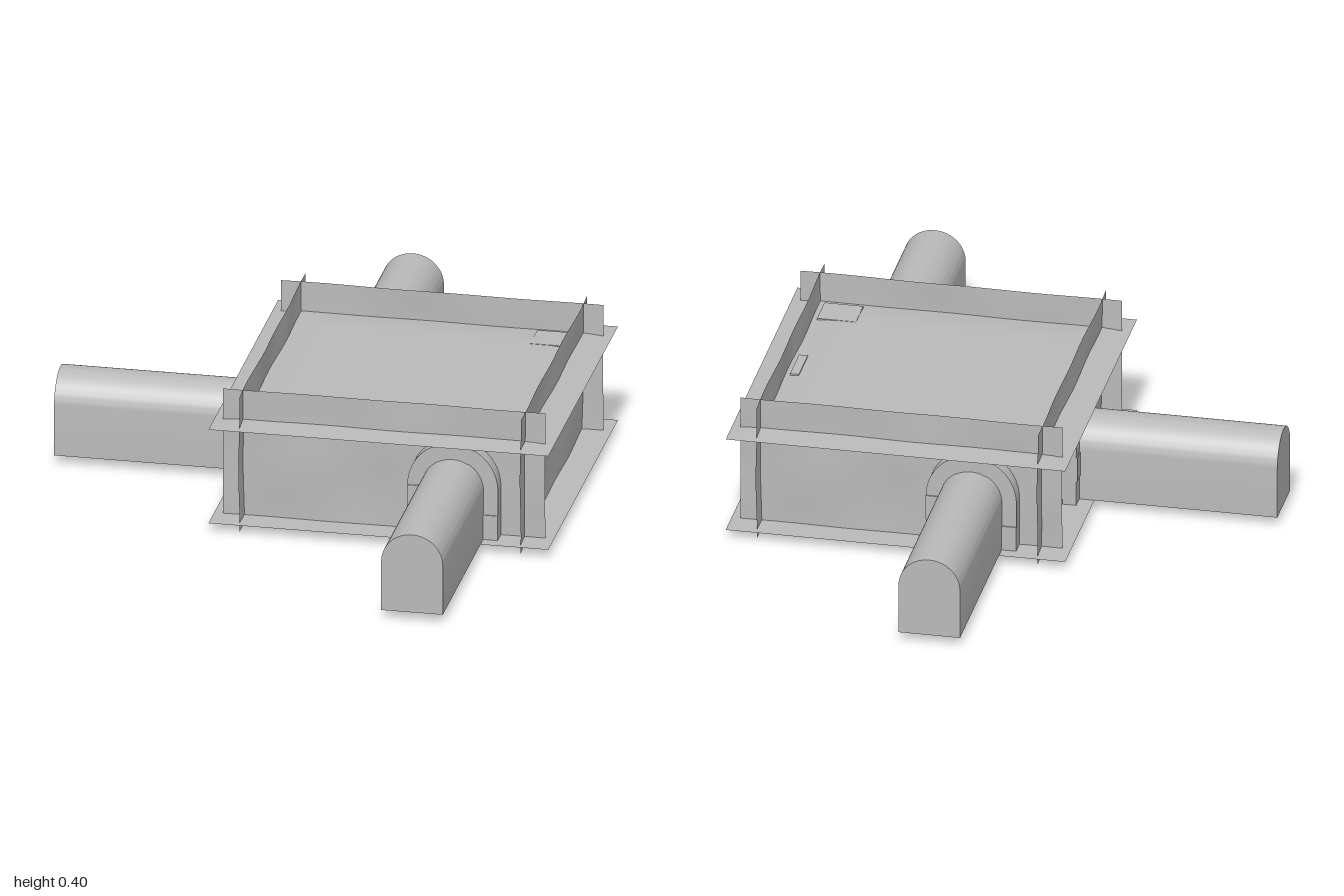
import * as THREE from 'three';
import { toCreasedNormals } from 'three/addons/utils/BufferGeometryUtils.js';

const FLOOR = 0.026, CEILING = 0.318, SPRING = 0.172;
const X0 = -0.14, X1 = 0.655, Z = 0.4, CX = (X0 + X1) / 2;

// Arched outline standing on the floor, centred on x = 0
function archPath(PathType, halfWidth, top) {
  const p = new PathType();
  p.moveTo(-halfWidth, FLOOR);
  p.lineTo(halfWidth, FLOOR);
  p.lineTo(halfWidth, SPRING);
  p.absellipse(0, SPRING, halfWidth, top - SPRING, 0, Math.PI, false);
  p.lineTo(-halfWidth, FLOOR);
  return p;
}

export function createModel() {
  const group = new THREE.Group();
  const stone = new THREE.MeshStandardMaterial({ color: 0xbababa, side: THREE.DoubleSide });
  stone.name = 'grey stone';

  function add(name, geometry, parent = group) {
    const mesh = new THREE.Mesh(geometry, stone);
    mesh.name = name;
    parent.add(mesh);
    return mesh;
  }

  // Thin sheet with a gentle hand-hewn ripple
  function sheet(width, height, ripple) {
    const g = new THREE.PlaneGeometry(width, height, 28, 14);
    const p = g.attributes.position;
    for (let i = 0; i < p.count; i++) {
      const x = p.getX(i), y = p.getY(i);
      p.setZ(i, ripple * (Math.sin(x * 17 + y * 11) + 0.6 * Math.sin(y * 23 - x * 9)));
    }
    g.computeVertexNormals();
    return g;
  }

  // Four walls that run past one another at the corners
  for (const s of [1, -1]) {
    const wall = add(s > 0 ? 'frontWall' : 'backWall', sheet(0.91, 0.4, 0.0015));
    wall.position.set(CX, 0.2, s * Z);
    if (s < 0) wall.rotation.y = Math.PI;
    const side = add(s > 0 ? 'leftWall' : 'rightWall', sheet(0.92, 0.4, 0.0015));
    side.position.set(s > 0 ? X1 : X0, 0.2, 0);
    side.rotation.y = s * Math.PI / 2;
  }

  // Floor slab sheet
  const floor = add('floor', new THREE.PlaneGeometry(0.96, 0.96));
  floor.rotation.x = -Math.PI / 2;
  floor.position.set(CX, FLOOR, 0);

  // Ceiling sheet, sagging slightly towards its rim
  const roof = new THREE.PlaneGeometry(0.96, 0.96, 32, 32);
  const rp = roof.attributes.position;
  for (let i = 0; i < rp.count; i++) {
    const edge = Math.max(Math.abs(rp.getX(i)), Math.abs(rp.getY(i)));
    rp.setZ(i, -0.012 * THREE.MathUtils.clamp((edge - 0.33) / 0.15, 0, 1));
  }
  roof.computeVertexNormals();
  const ceiling = add('ceiling', roof);
  ceiling.rotation.x = -Math.PI / 2;
  ceiling.position.set(CX, CEILING, 0);

  // Inner piers just breaking through the ceiling
  for (const [w, d, x, z] of [[0.11, 0.1, 0.585, -0.33], [0.11, 0.1, 0.585, 0.33], [0.025, 0.12, 0.63, -0.01]]) {
    const h = CEILING + 0.001 - FLOOR;
    add('pier', new THREE.BoxGeometry(w, h, d)).position.set(x, FLOOR + h / 2, z);
  }

  // Vaulted passage with a projecting arch surround; local +z leads outwards
  function passage(name, x, z, angle, length) {
    const g = new THREE.Group();
    g.name = name;
    g.position.set(x, 0, z);
    g.rotation.y = angle;
    group.add(g);

    const vault = new THREE.ExtrudeGeometry(archPath(THREE.Shape, 0.087, 0.258),
      { depth: length, bevelEnabled: false, curveSegments: 20 });
    add('vault', toCreasedNormals(vault, 0.6), g);

    // Jamb blocks, alternating slightly in depth
    const inner = 0.084, outer = 0.128, rise = SPRING - FLOOR;
    for (const s of [-1, 1]) {
      for (let i = 0; i < 2; i++) {
        const depth = 0.08 + 0.006 * ((i + (s > 0 ? 1 : 0)) % 2);
        add('jambBlock', new THREE.BoxGeometry(outer - inner, rise / 2, depth), g)
          .position.set(s * (inner + outer) / 2, FLOOR + rise * (i + 0.5) / 2, 0);
      }
    }
    // Wedge-shaped arch stones
    const stones = 3;
    for (let i = 0; i < stones; i++) {
      const a = Math.PI * i / stones, b = Math.PI * (i + 1) / stones;
      const w = new THREE.Shape();
      w.absellipse(0, SPRING, outer, 0.132, a, b, false);
      w.absellipse(0, SPRING, inner, 0.084, b, a, true);
      const depth = 0.08 + 0.006 * (i % 2);
      const wedge = new THREE.ExtrudeGeometry(w, { depth, bevelEnabled: false, curveSegments: 8 });
      wedge.translate(0, 0, -depth / 2);
      add('archStone', toCreasedNormals(wedge, 0.6), g);
    }
  }
  passage('frontPassage', 0.459, Z, 0, 0.6);
  passage('backPassage', 0.052, -Z, Math.PI, 0.6);
  passage('rightPassage', X0, -0.003, -Math.PI / 2, 0.6);

  return group;
}
